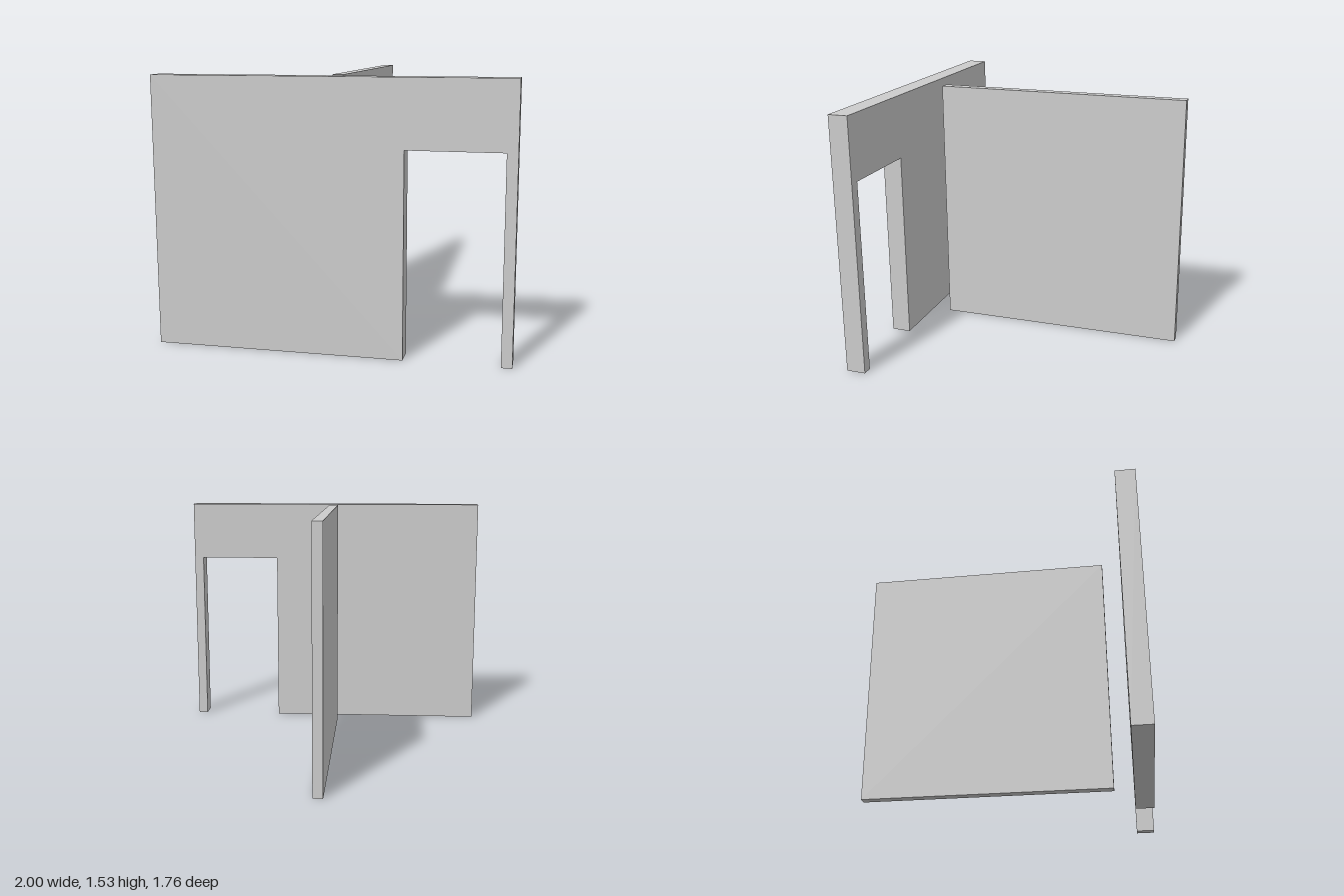
import * as THREE from 'three';

const HEIGHT = 1.53;

export function createModel() {
  const group = new THREE.Group();
  const plaster = new THREE.MeshStandardMaterial({ color: 0xcccccc });
  plaster.name = 'light grey plaster';

  // Front wall: one outline that steps around the doorway, extruded to thickness
  const outline = new THREE.Shape([
    [-1, 0], [0.41, 0], [0.41, 1.15], [0.94, 1.15],
    [0.94, 0], [1, 0], [1, HEIGHT], [-1, HEIGHT],
  ].map(([x, y]) => new THREE.Vector2(x, y)));
  const frontWall = new THREE.Mesh(
    new THREE.ExtrudeGeometry(outline, { depth: 0.116, bevelEnabled: false }),
    plaster,
  );
  frontWall.name = 'frontWallWithDoorway';
  frontWall.position.z = 0.766;
  group.add(frontWall);

  // Thin partition standing behind it, at right angles and separated by a gap
  const partition = new THREE.Mesh(new THREE.BoxGeometry(0.06, HEIGHT, 1.53), plaster);
  partition.name = 'partitionWall';
  partition.position.set(0, HEIGHT / 2, -0.117);
  group.add(partition);

  return group;
}
